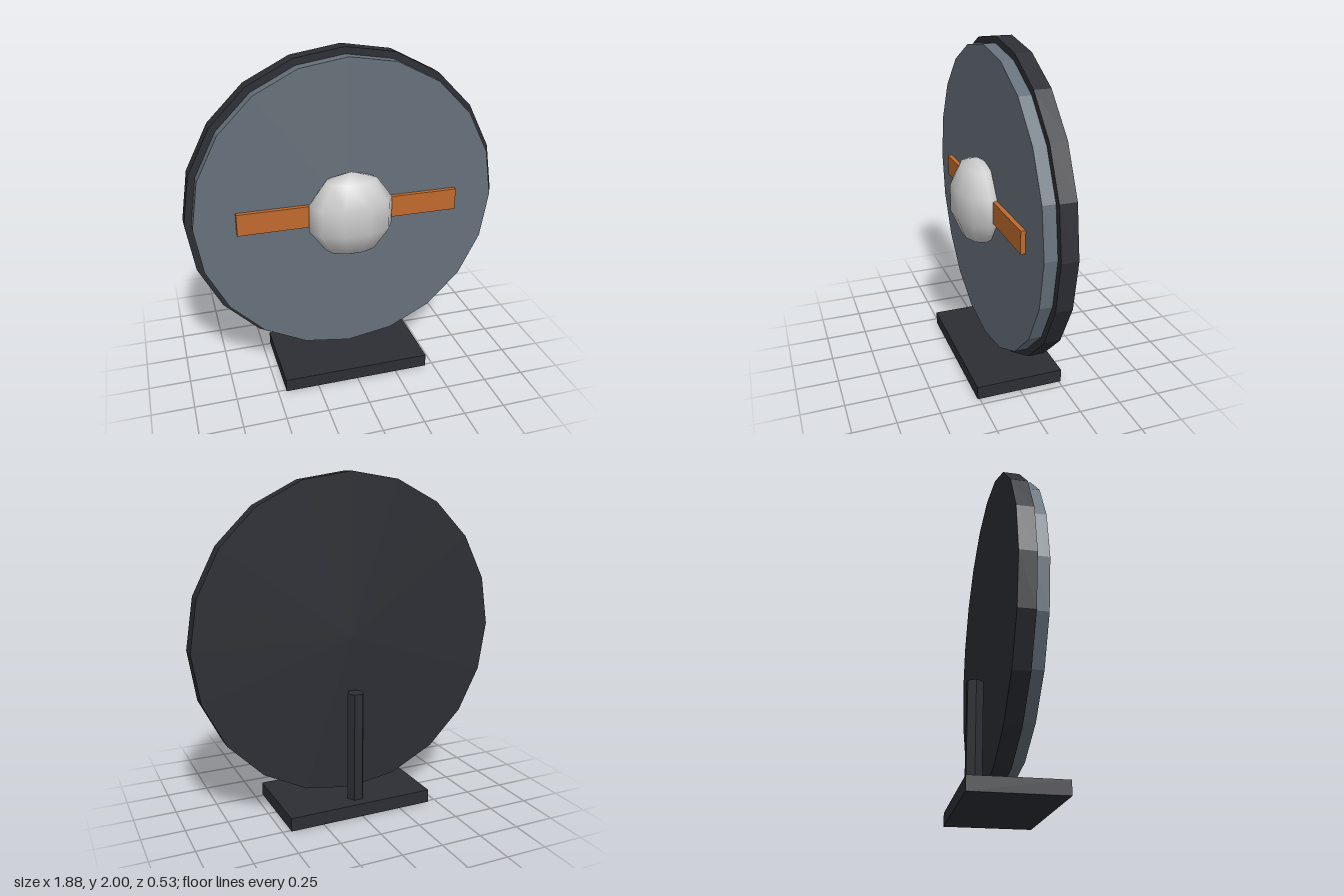
import * as THREE from 'three';

const CENTER_Y = 1.06;

function material(color, flatShading = true) {
  return new THREE.MeshStandardMaterial({ color, flatShading });
}

export function createModel() {
  const model = new THREE.Group();
  model.name = 'shieldOnStand';
  const dark = material(0x2c2e34);
  const slate = material(0x66707a);
  const orange = material(0xc06a2c);
  const silver = material(0xcccccc, false);

  function add(name, geometry, mat, x, y, z) {
    const mesh = new THREE.Mesh(geometry, mat);
    mesh.name = name;
    mesh.position.set(x, y, z);
    model.add(mesh);
    return mesh;
  }

  // Twenty-sided disc facing +z, from zBack to zFront
  function addDisc(name, radius, zBack, zFront, mat) {
    const geometry = new THREE.CylinderGeometry(radius, radius, zFront - zBack, 20);
    geometry.rotateX(Math.PI / 2);
    add(name, geometry, mat, 0, CENTER_Y, (zBack + zFront) / 2);
  }

  // Dark backing rim and the smaller face plate in front of it
  addDisc('rimDisc', 0.94, -0.1, -0.005, dark);
  addDisc('facePlate', 0.9, -0.02, 0.067, slate);

  // Horizontal stripe across the face
  add('crossBar', new THREE.BoxGeometry(1.32, 0.13, 0.054), orange, 0, 1.065, 0.067);

  // Flattened central boss
  const boss = add('boss', new THREE.SphereGeometry(0.2625, 10, 5), silver, 0, CENTER_Y, 0.11);
  boss.scale.z = 0.588;

  // Hexagonal post behind the disc, standing on the base
  const post = new THREE.CylinderGeometry(0.052, 0.052, 0.68, 6);
  post.rotateY(Math.PI / 6);
  add('post', post, dark, 0, 0.4, -0.158);
  add('base', new THREE.BoxGeometry(0.9, 0.08, 0.526), dark, 0, 0.04, 0);

  return model;
}
